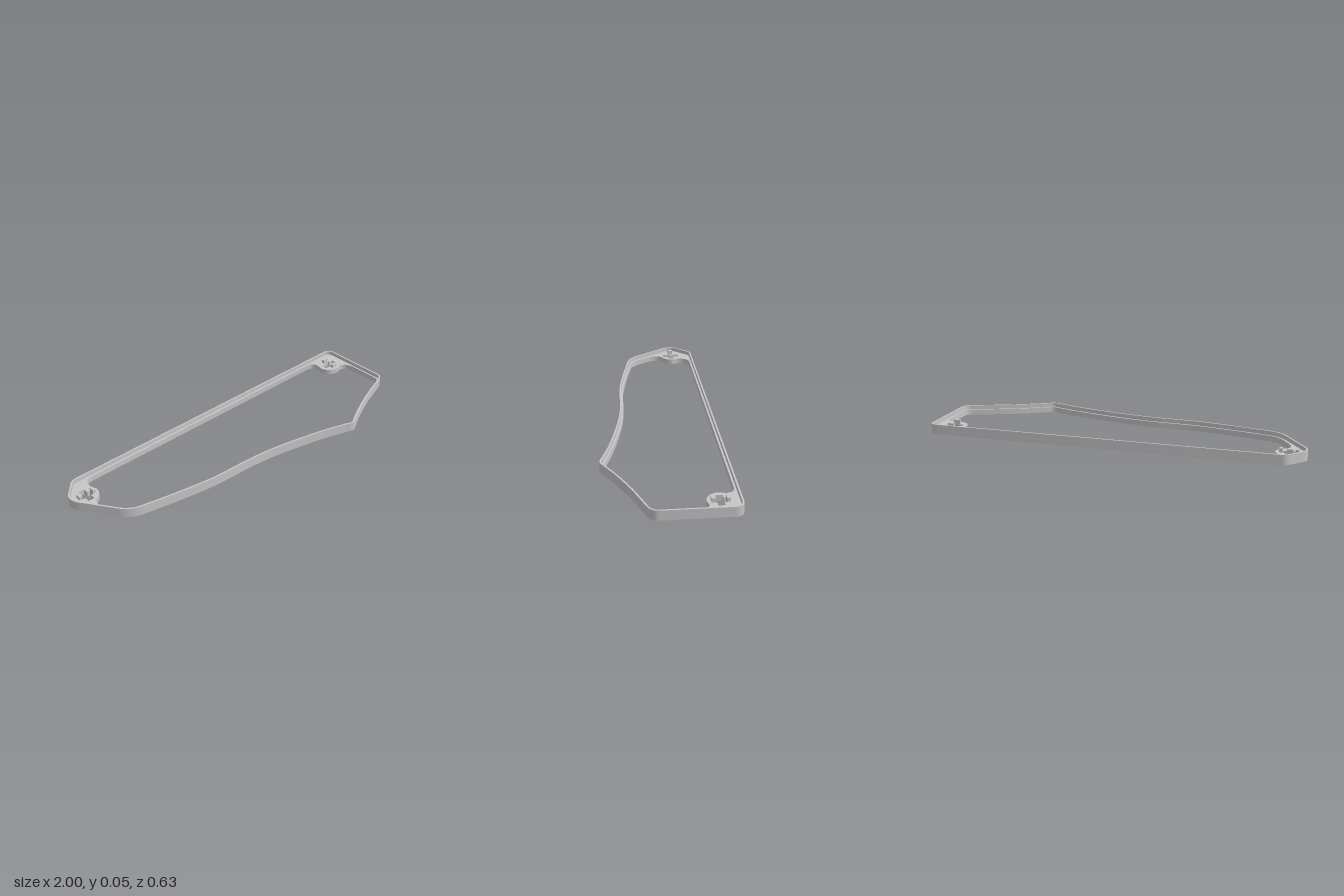
import * as THREE from 'three';
import { toCreasedNormals } from 'three/addons/utils/BufferGeometryUtils.js';

const BASE = 0.03;    // height of ledge and corner tabs
const TOP = 0.052;    // height of outer rim
const LIP = 0.009;    // rim thickness
const WALL = 0.019;   // rim plus ledge

// Points are given as [x, z]; shapes are drawn with y = -z
const v = ([x, z]) => new THREE.Vector2(x, -z);
const spline = (pts, n) => new THREE.SplineCurve(pts.map(v)).getPoints(n);
const bend = (a, c, b) => new THREE.QuadraticBezierCurve(v(a), v(c), v(b)).getPoints(10);

// Outer contour, clockwise from the back right corner
function outline() {
  return [
    ...bend([0.95, -0.316], [1, -0.316], [1, -0.266]),
    ...bend([1, 0.07], [1, 0.112], [0.955, 0.127]),
    ...spline([[0.94, 0.132], [0.86, 0.16], [0.78, 0.19], [0.66, 0.244], [0.56, 0.297]], 20),
    ...bend([0.55, 0.303], [0.515, 0.328], [0.48, 0.305]),
    ...spline([[0.465, 0.301], [0.36, 0.267], [0.2, 0.227], [0.03, 0.193], [-0.13, 0.174],
      [-0.26, 0.169], [-0.39, 0.16], [-0.58, 0.129], [-0.76, 0.092]], 60),
    ...bend([-0.775, 0.089], [-0.835, 0.075], [-0.872, 0.02]),
    ...bend([-0.972, -0.13], [-1.022, -0.195], [-0.982, -0.237]),
    ...bend([-0.925, -0.298], [-0.91, -0.316], [-0.885, -0.316]),
  ];
}

// Move every contour point inward along its mitred normal
function inset(pts, d) {
  return pts.map((p, i) => {
    const a = pts[(i + pts.length - 1) % pts.length], b = pts[(i + 1) % pts.length];
    const e = p.clone().sub(a).normalize(), f = b.clone().sub(p).normalize();
    const n = new THREE.Vector2(e.y + f.y, -e.x - f.x).normalize();
    const miter = Math.max(0.5, n.x * f.y - n.y * f.x);
    return p.clone().addScaledVector(n, d / miter);
  });
}

// Plus-shaped opening; w and h are half lengths of the arms, tw and th half widths
function cross([cx, cz], w, h, tw, th) {
  return [[w, th], [tw, th], [tw, h], [-tw, h], [-tw, th], [-w, th],
    [-w, -th], [-tw, -th], [-tw, -h], [tw, -h], [tw, -th], [w, -th]]
    .map(([x, z]) => v([cx + x, cz + z]));
}

// Extrude a clockwise contour with holes between two heights
function slab(name, outer, holes, y0, y1, material) {
  const shape = new THREE.Shape([...outer].reverse());
  shape.holes = holes.map((h) => new THREE.Path(h));
  const g = new THREE.ExtrudeGeometry(shape, { depth: y1 - y0, bevelEnabled: false });
  g.rotateX(-Math.PI / 2).translate(0, y0, 0);
  const mesh = new THREE.Mesh(toCreasedNormals(g, 0.5), material);
  mesh.name = name;
  return mesh;
}

export function createModel() {
  const group = new THREE.Group();
  group.name = 'bezelFrame';
  const grey = new THREE.MeshStandardMaterial({ color: 0xc6c6c6 });
  grey.name = 'grey plastic';

  const outer = outline();
  // Inner opening: follows the front wall, then curves around both tabs
  const opening = [
    ...inset(outer, WALL).filter((p) => p.y < -0.02),
    ...spline([[-0.872, -0.018], [-0.897, -0.06], [-0.905, -0.095], [-0.895, -0.125], [-0.855, -0.155],
      [-0.84, -0.195], [-0.852, -0.23], [-0.845, -0.27], [-0.82, -0.293], [-0.79, -0.297]], 45),
    ...spline([[0.795, -0.297], [0.825, -0.285], [0.835, -0.255], [0.828, -0.21], [0.85, -0.17],
      [0.895, -0.153], [0.935, -0.16], [0.967, -0.145], [0.981, -0.105]], 40),
  ];

  const leftHole = [-0.908, -0.191], rightHole = [0.898, -0.217];
  group.add(slab('ledgeAndTabs', outer,
    [opening, cross(leftHole, 0.032, 0.046, 0.017, 0.016), cross(rightHole, 0.046, 0.028, 0.02, 0.017)],
    0, BASE, grey));
  group.add(slab('rim', outer, [inset(outer, LIP)], BASE, TOP, grey));

  // Pairs of upright clips beside each opening
  const clip = (name, x, z, w, d) => {
    const m = new THREE.Mesh(new THREE.BoxGeometry(w, 0.03, d), grey);
    m.position.set(x, 0.035, z);
    m.name = name;
    group.add(m);
  };
  for (const s of [-1, 1]) {
    clip('sideClip', leftHole[0] + s * 0.04, leftHole[1], 0.016, 0.028);
    clip('endClip', rightHole[0], rightHole[1] + s * 0.036, 0.034, 0.016);
  }
  return group;
}
